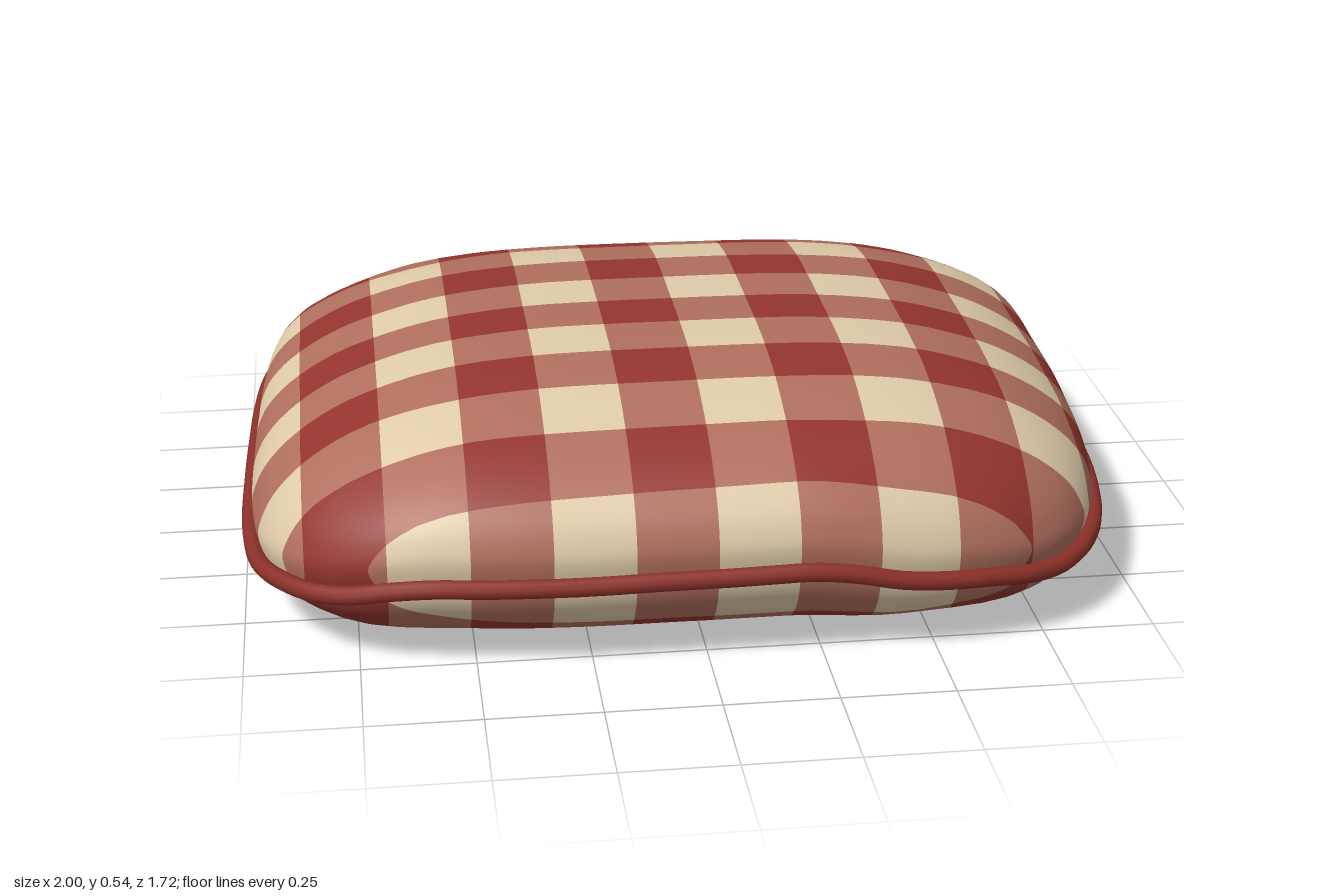
import * as THREE from 'three';

const HALF_X = 0.972, HALF_Z = 0.838, AROUND = 120;

// Height of the wavy seam, every 15 degrees around the cushion
const SEAM = [0.2, 0.185, 0.16, 0.145, 0.175, 0.22, 0.215, 0.21, 0.21, 0.165, 0.145, 0.165,
  0.19, 0.2, 0.21, 0.165, 0.15, 0.155, 0.16, 0.15, 0.16, 0.17, 0.215, 0.195];
const SEAM_MEAN = 0.19;

// Half profiles from the seam to the centre: [fraction of outline, height]
const TOP = [[0.985, 0.19], [0.995, 0.24], [0.985, 0.28], [0.96, 0.325], [0.91, 0.375], [0.83, 0.427],
  [0.73, 0.47], [0.56, 0.516], [0.35, 0.54], [0.15, 0.545], [0, 0.545]];
const BOTTOM = [[0.985, 0.19], [0.975, 0.15], [0.95, 0.113], [0.9, 0.07], [0.82, 0.034],
  [0.7, 0.011], [0.5, 0.002], [0.25, 0.012], [0, 0.016]];

// Gingham: stripe width and phase along x and z
const STRIPES = [{ axis: 0, width: 0.175, start: -0.86 }, { axis: 2, width: 0.15, start: 0.01 }];

function seamHeight(angle) {
  const t = ((angle / (Math.PI * 2)) * 24 + 24) % 24;
  const i = Math.floor(t), f = t - i;
  return THREE.MathUtils.lerp(SEAM[i % 24], SEAM[(i + 1) % 24], f * f * (3 - 2 * f));
}

// Point on a slightly skewed, rounded-square ring
function ringPoint(angle, r, y) {
  const c = Math.cos(angle), s = Math.sin(angle);
  const k = r / Math.pow(c ** 4 + s ** 4, 0.25);
  const x = HALF_X * c * k, z = HALF_Z * s * k;
  return new THREE.Vector3(x - 0.045 * z, y + (seamHeight(angle) - SEAM_MEAN) * r ** 6, z + 0.018 * x);
}

// Smooth shell from the seam to the centre of one side
function shell(profile, up) {
  const rings = new THREE.SplineCurve(profile.map(p => new THREE.Vector2(...p))).getPoints(30);
  const pos = [], index = [];
  rings.forEach((p, i) => {
    for (let j = 0; j < AROUND; j++) {
      const r = i === rings.length - 1 ? 0 : p.x;
      pos.push(...ringPoint((j / AROUND) * Math.PI * 2, r, p.y).toArray());
      if (i === 0) continue;
      const a = (i - 1) * AROUND + j, b = (i - 1) * AROUND + (j + 1) % AROUND;
      const a2 = a + AROUND, b2 = b + AROUND;
      const tris = i === rings.length - 1 ? [[a2, b, a]] : [[a2, b, a], [a2, b2, b]];
      for (const [u, v, w] of tris) index.push(...(up ? [u, v, w] : [u, w, v]));
    }
  });
  const geo = new THREE.BufferGeometry();
  geo.setAttribute('position', new THREE.Float32BufferAttribute(pos, 3));
  geo.setIndex(index);
  geo.computeVertexNormals();
  for (let j = 0; j < AROUND; j++) {
    geo.attributes.normal.setXYZ((rings.length - 1) * AROUND + j, 0, up ? 1 : -1, 0);
  }
  return geo;
}

// Keep the part of a polygon on one side of an axis-aligned plane
function clip(poly, axis, limit, sign) {
  const out = [];
  poly.forEach((p, i) => {
    const q = poly[(i + 1) % poly.length];
    const dp = (p[axis] - limit) * sign, dq = (q[axis] - limit) * sign;
    if (dp >= 0) out.push(p);
    if (dp * dq < 0) out.push(p.map((v, k) => v + (q[k] - v) * dp / (dp - dq)));
  });
  return out;
}

// Cut a polygon along the stripe edges; each piece carries its stripe number
function cutStripes(poly, { axis, width, start }) {
  const cells = poly.map(p => (p[axis] - start) / width);
  const pieces = [];
  for (let n = Math.floor(Math.min(...cells)); n <= Math.floor(Math.max(...cells)); n++) {
    const low = clip(poly, axis, start + n * width, 1);
    const piece = clip(low, axis, start + (n + 1) * width, -1);
    if (piece.length > 2) pieces.push({ piece, dyed: n % 2 === 0 ? 1 : 0 });
  }
  return pieces;
}

// Split a shell into its three check colours
function checkedMeshes(geo, materials, name) {
  const P = geo.attributes.position, N = geo.attributes.normal, I = geo.index.array;
  const sets = materials.map(() => ({ pos: [], nor: [] }));
  for (let t = 0; t < I.length; t += 3) {
    const tri = [I[t], I[t + 1], I[t + 2]].map(v =>
      [P.getX(v), P.getY(v), P.getZ(v), N.getX(v), N.getY(v), N.getZ(v)]);
    for (const column of cutStripes(tri, STRIPES[0])) {
      for (const { piece, dyed } of cutStripes(column.piece, STRIPES[1])) {
        const set = sets[column.dyed + dyed];
        for (let k = 1; k < piece.length - 1; k++) {
          for (const v of [piece[0], piece[k], piece[k + 1]]) {
            set.pos.push(v[0], v[1], v[2]);
            set.nor.push(v[3], v[4], v[5]);
          }
        }
      }
    }
  }
  const group = new THREE.Group();
  group.name = name;
  sets.forEach((set, i) => {
    const g = new THREE.BufferGeometry();
    g.setAttribute('position', new THREE.Float32BufferAttribute(set.pos, 3));
    g.setAttribute('normal', new THREE.Float32BufferAttribute(set.nor, 3));
    const mesh = new THREE.Mesh(g, materials[i]);
    mesh.name = name + ['Cream', 'Rose', 'Red'][i] + 'Checks';
    group.add(mesh);
  });
  return group;
}

function material(name, color) {
  const m = new THREE.MeshStandardMaterial({ color });
  m.name = name;
  return m;
}

export function createModel() {
  const cushion = new THREE.Group();
  cushion.name = 'cushion';
  const cloth = [material('cream', 0xdfcba8), material('rose', 0xb06f5d), material('red', 0x94352e)];

  // Checked cover
  cushion.add(checkedMeshes(shell(TOP, true), cloth, 'topCover'));
  cushion.add(checkedMeshes(shell(BOTTOM, false), cloth, 'bottomCover'));

  // Piping along the seam
  const path = [];
  for (let j = 0; j < 72; j++) path.push(ringPoint((j / 72) * Math.PI * 2, 1, SEAM_MEAN));
  const curve = new THREE.CatmullRomCurve3(path, true);
  const piping = new THREE.Mesh(new THREE.TubeGeometry(curve, 200, 0.021, 10, true), material('piping red', 0x8c3029));
  piping.name = 'piping';
  cushion.add(piping);

  return cushion;
}
